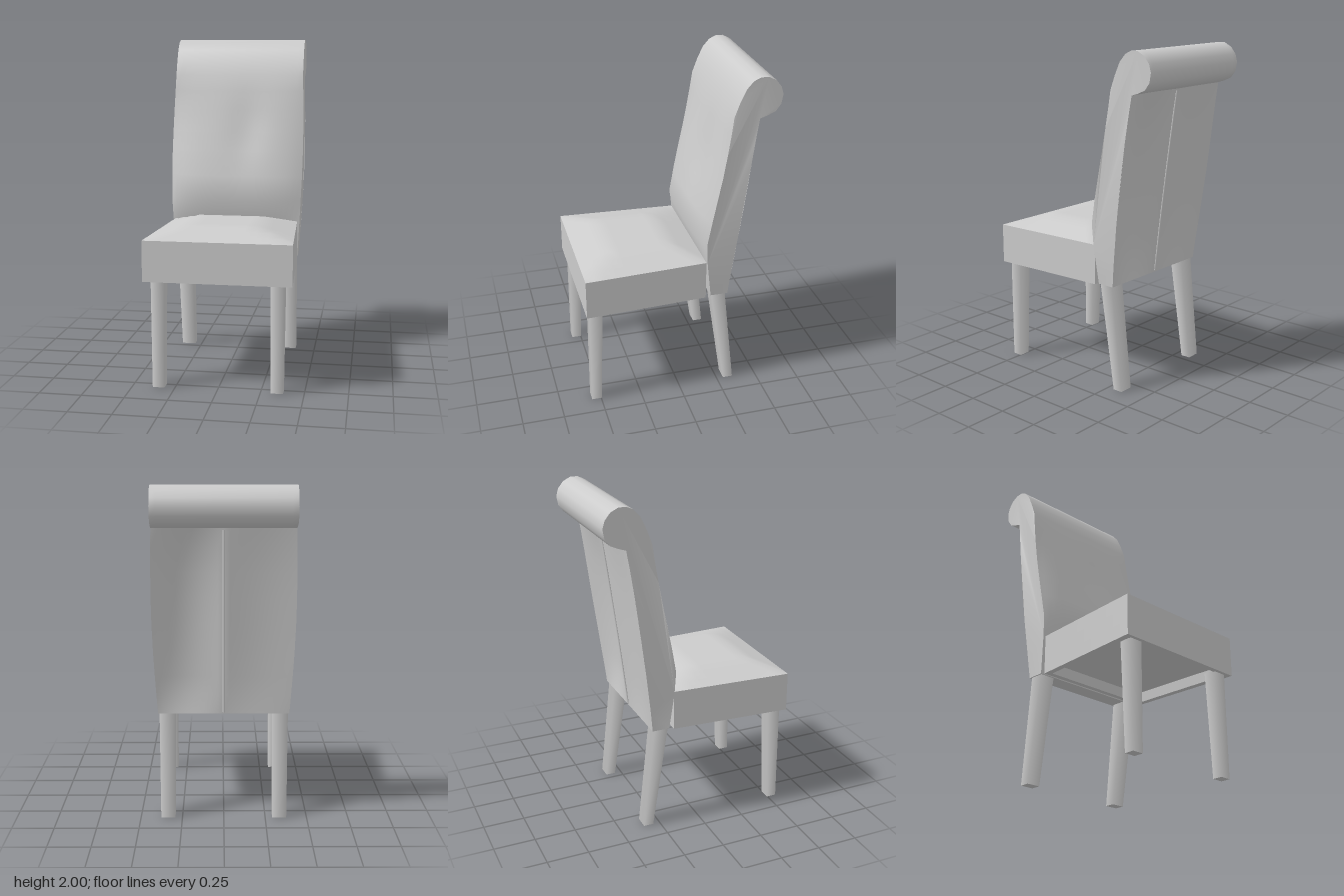
import * as THREE from 'three';
import { toCreasedNormals } from 'three/addons/utils/BufferGeometryUtils.js';

const upholstery = new THREE.MeshStandardMaterial({ color: 0xcccccc });
upholstery.name = 'plain grey';

function part(name, geometry) {
  const mesh = new THREE.Mesh(geometry, upholstery);
  mesh.name = name;
  return mesh;
}

// Lofts a side profile of [z, y] points across x; shape(u, j, z, y) returns a vertex.
function loftAcross(profile, stations, shape) {
  const n = profile.length, positions = [], index = [];
  for (let i = 0; i <= stations; i++) {
    const u = (i / stations) * 2 - 1;
    profile.forEach(([z, y], j) => positions.push(...shape(u, j, z, y)));
  }
  for (let i = 0; i < stations; i++) {
    for (let j = 0; j < n; j++) {
      const k = (j + 1) % n;
      const a = i * n + j, b = a + n, c = (i + 1) * n + k, d = i * n + k;
      index.push(a, b, c, a, c, d);
    }
  }
  // End caps
  const outline = profile.map(([z, y]) => new THREE.Vector2(z, y));
  const last = stations * n;
  for (const [a, b, c] of THREE.ShapeUtils.triangulateShape(outline, [])) {
    index.push(a, b, c, last + a, last + c, last + b);
  }
  const g = new THREE.BufferGeometry();
  g.setAttribute('position', new THREE.Float32BufferAttribute(positions, 3));
  g.setIndex(index);
  return toCreasedNormals(g, 0.75);
}

// Seat cushion: tapered box with a plateau top and a shallow recess underneath
function makeSeat() {
  const segments = 12;
  const g = new THREE.BoxGeometry(2, 1, 2, segments, 3, segments);
  const p = g.attributes.position, normal = g.attributes.normal;
  const inset = (v) => {
    const ring = Math.round(Math.abs(v) * 6);
    return Math.sign(v) * (ring === 6 ? 1 : ring === 5 ? 0.91 : ring === 4 ? 0.89 : Math.abs(v));
  };
  for (let i = 0; i < p.count; i++) {
    let u = p.getX(i), w = p.getZ(i), y = 0.63 + (p.getY(i) + 0.5) * 0.24;
    if (normal.getY(i) > 0.5) {
      y += 0.06 * Math.min(1, (1 - Math.abs(u)) / 0.5, (1 - Math.abs(w)) / 0.5);
    } else if (normal.getY(i) < -0.5) {
      if (Math.max(Math.abs(u), Math.abs(w)) < 0.7) y += 0.06;
      u = inset(u);
      w = inset(w);
    }
    const halfWidth = 0.41 + 0.02 * w;
    p.setXYZ(i, u * halfWidth, y, 0.208 + w * 0.367);
  }
  return part('seat', toCreasedNormals(g, 0.6));
}

// Backrest: padded front, scrolled top and gently hollowed back panels
function makeBackrest() {
  const front = [[-0.19, 0.64], [-0.175, 0.76], [-0.162, 0.87], [-0.155, 1.0], [-0.182, 1.15],
    [-0.212, 1.3], [-0.237, 1.42], [-0.262, 1.56], [-0.281, 1.68], [-0.295, 1.78]];
  const scroll = [[-0.325, 1.86], [-0.36, 1.935], [-0.4, 1.98], [-0.44, 1.998], [-0.485, 1.998],
    [-0.53, 1.975], [-0.562, 1.935], [-0.575, 1.89], [-0.565, 1.835], [-0.535, 1.795], [-0.49, 1.775]];
  const back = [[-0.445, 1.76], [-0.427, 1.65], [-0.405, 1.5], [-0.385, 1.35], [-0.365, 1.2],
    [-0.342, 1.03], [-0.322, 0.87], [-0.308, 0.76], [-0.295, 0.64]];
  const profile = [...front, ...scroll, ...back];
  const backStart = front.length + scroll.length;

  const geometry = loftAcross(profile, 24, (u, j, z, y) => {
    const t = THREE.MathUtils.clamp((y - 0.64) / 1.14, 0, 1);
    const rise = Math.max(Math.sin(Math.PI * t), 0);
    if (j < front.length) {
      // Padding, fullest just above the seat
      const fullness = THREE.MathUtils.smoothstep(y, 0.85, 1) * (1 - ((y - 1) / 0.78) ** 2);
      z += 0.043 * (1 - u ** 4) * fullness;
      z -= 0.015 * Math.exp(-((u - 0.15) ** 2) / 0.08 - ((y - 1.42) ** 2) / 0.03);
    } else if (j >= backStart) {
      // Hollow panels either side of the centre seam, deeper on the left
      z += (u > 0 ? 0.05 : 0.015) * Math.sin(Math.PI * Math.abs(u)) * Math.sqrt(rise);
    }
    // Narrow at the seat, widest at mid height
    const halfWidth = 0.39 + 0.015 * t + 0.018 * rise;
    return [u * halfWidth, y, z];
  });
  return part('backrest', geometry);
}

// Raised seam down the middle of the back
function makeSeam() {
  const path = new THREE.CatmullRomCurve3([
    new THREE.Vector3(0, 0.65, -0.296), new THREE.Vector3(0, 1.03, -0.342),
    new THREE.Vector3(0, 1.4, -0.392), new THREE.Vector3(0, 1.75, -0.442)]);
  return part('backSeam', new THREE.TubeGeometry(path, 12, 0.007, 6));
}

// Four-sided tapered leg whose top and bottom are [z, width, depth]
function makeLeg(name, x, top, bottom, height) {
  const g = new THREE.CylinderGeometry(Math.SQRT1_2, Math.SQRT1_2, 1, 4, 1);
  g.rotateY(Math.PI / 4);
  const p = g.attributes.position;
  for (let i = 0; i < p.count; i++) {
    const isTop = p.getY(i) > 0;
    const [z, width, depth] = isTop ? top : bottom;
    p.setXYZ(i, x + p.getX(i) * width, isTop ? height : 0, z + p.getZ(i) * depth);
  }
  return part(name, g);
}

export function createModel() {
  const chair = new THREE.Group();
  chair.name = 'chair';
  chair.add(makeSeat(), makeBackrest(), makeSeam());
  for (const [side, s] of [['Left', 1], ['Right', -1]]) {
    chair.add(makeLeg('frontLeg' + side, s * 0.345, [0.513, 0.08, 0.08], [0.527, 0.07, 0.06], 0.64));
    chair.add(makeLeg('rearLeg' + side, s * 0.335, [-0.238, 0.095, 0.085], [-0.322, 0.085, 0.06], 0.65));
  }
  return chair;
}
